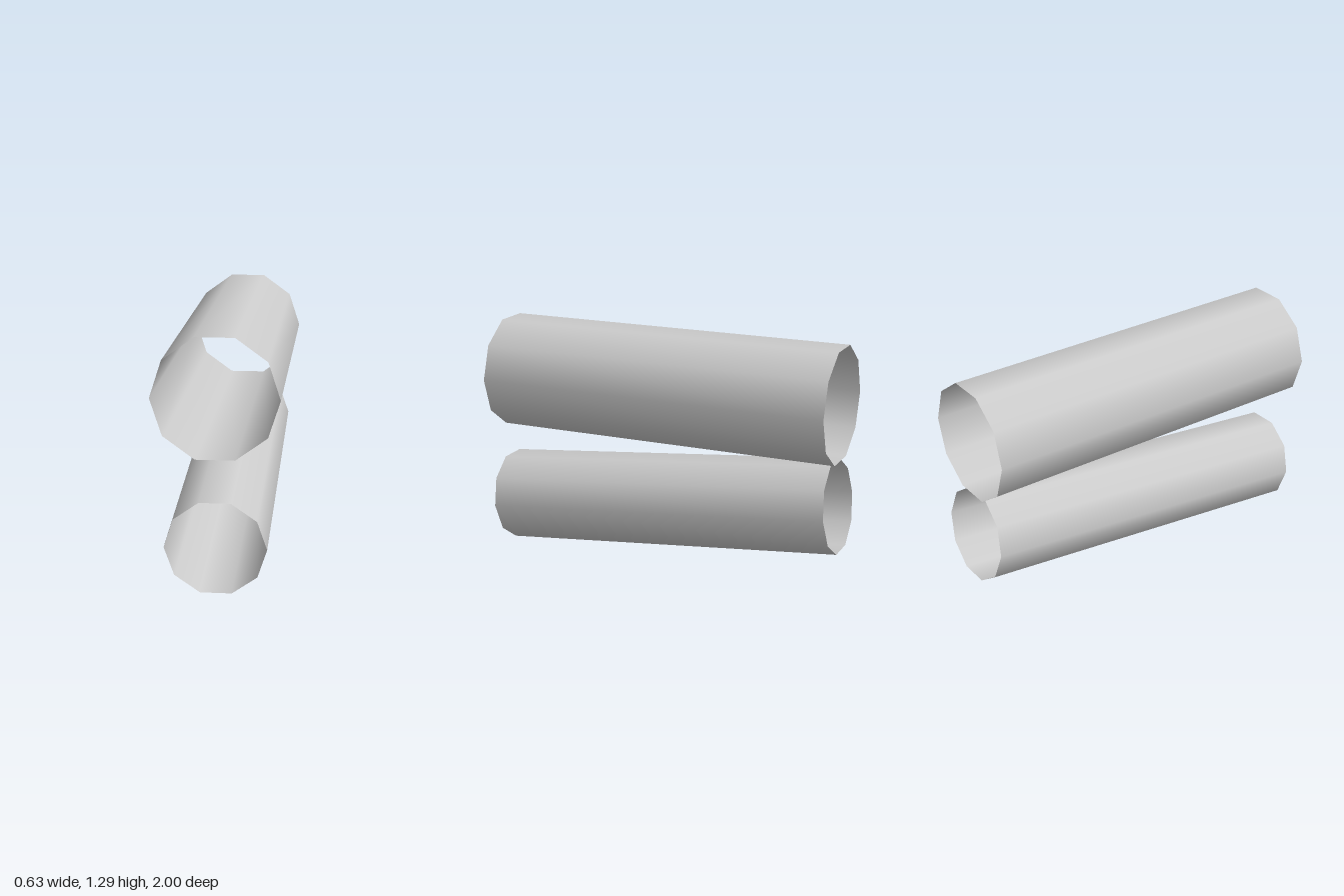
import * as THREE from 'three';

export function createModel() {
  const model = new THREE.Group();
  const grey = new THREE.MeshStandardMaterial({ color: 0xcccccc, side: THREE.DoubleSide });
  grey.name = 'grey';

  // Open ten-sided tube lying along z, with a flat facet on top and bottom
  function addTube(name, radius, length, y, tilt) {
    const geometry = new THREE.CylinderGeometry(radius, radius, length, 10, 1, true, Math.PI / 2);
    geometry.rotateX(Math.PI / 2);
    const tube = new THREE.Mesh(geometry, grey);
    tube.name = name;
    tube.position.y = y;
    tube.rotation.x = tilt;
    model.add(tube);
  }

  // Wide level tube above, narrow tube below with its back end raised
  addTube('upperTube', 0.315, 1.955, 0.993, 0);
  addTube('lowerTube', 0.2545, 1.96, 0.342, 0.102);

  return model;
}
